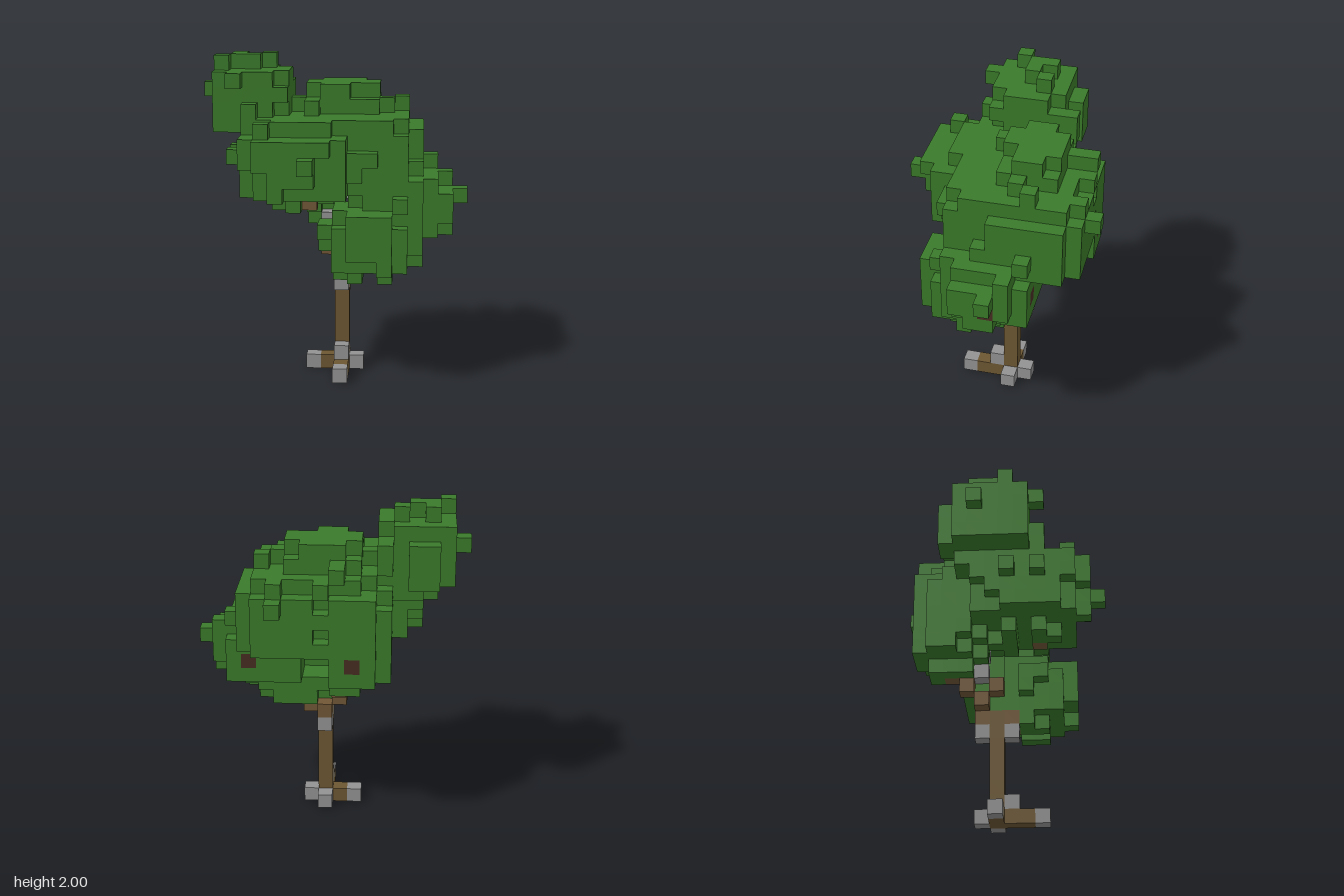
import * as THREE from 'three';

const S = 2 / 22; // edge of one block
const key = (i, j, k) => `${i},${j},${k}`;

// Outline of the crown: block ranges per layer (x and z) and per depth row (x)
const LOW = 7;
const X_BY_Y = [[0, 3], [0, 5], [-1, 5], [-2, 7], [-4, 7], [-4, 8], [-6, 7], [-6, 6],
  [-7, 5], [-6, 5], [-8, 4], [-8, 4], [-9, 2], [-8, -4], [-8, -5]];
const Z_BY_Y = [[1, 2], [-2, 4], [-2, 4], [-5, 4], [-6, 4], [-6, 3], [-6, 5], [-6, 5],
  [-6, 6], [-7, 5], [-6, 4], [-6, 2], [-4, 1], [-3, 2], [-2, 0]];
const BACK = -7;
const X_BY_Z = [[3, 3], [-3, 4], [-4, 5], [-7, 5], [-8, 6], [-9, 7], [-8, 8],
  [-8, 7], [-8, 7], [-7, 5], [-6, 4], [-6, 3], [-5, -1], [-2, -2]];
const within = (v, range) => v >= range[0] && v <= range[1];
const inFront = (i, j) => within(i, X_BY_Y[j - LOW])
  && !(j === 7 && i === 2) && !(j === 19 && i === -3);
const inSide = (j, k) => within(k, Z_BY_Y[j - LOW]);
const inTop = (i, k) => within(i, X_BY_Z[k - BACK]) && !(k === -4 && i === -5);

// Leaf clumps: centre and radii in blocks
const CLUMPS = [
  [2.7, 9.8, 1.3, 2.9, 2.7, 3.7],      // low front
  [4.6, 12, 0, 3.4, 2.5, 3.3],         // right
  [0.8, 15.8, -1.8, 4.6, 3.1, 3.8],    // main, in the middle
  [3.2, 14.8, -2.6, 3.2, 3.4, 3.7],    // back right
  [-1.5, 13.8, -3.8, 2.3, 3.7, 3.1],   // hanging at the back
  [-2.3, 15.2, 1.7, 4.1, 2.8, 4.2],    // front left
  [2, 15.6, 0.3, 3.4, 2.8, 3.2],       // front middle
  [-5.8, 18.8, -0.9, 3, 2.8, 3.2],     // tall left
  [0.5, 18.6, -2.1, 2.7, 1.4, 2],      // cap
];

// Repeatable noise per block, 0..1
function noise(i, j, k) {
  const n = Math.sin(i * 127.1 + j * 311.7 + k * 74.7) * 43758.5453;
  return n - Math.floor(n);
}

// Smallest rounded-box distance to any clump; below 1 is inside
function leafField(i, j, k) {
  let best = Infinity;
  for (const [cx, cy, cz, rx, ry, rz] of CLUMPS) {
    const d = Math.abs((i + 0.5 - cx) / rx) ** 2.6
      + Math.abs((j + 0.5 - cy) / ry) ** 2.6
      + Math.abs((k + 0.5 - cz) / rz) ** 2.6;
    best = Math.min(best, d);
  }
  return best + (noise(i, j, k) - 0.5) * 0.4;
}

// Bare spots that leave branches and their ends visible
const bare = (i, j, k) => (i === -2 && j === 12 && k > 2)
  || (i >= 0 && i <= 6 && j <= 12 && k < -3)
  || (i >= 0 && i <= 1 && j >= 10 && j <= 12 && k < 0);

// Fills the crown around the blocks already taken
function growLeaves(taken) {
  const leaves = [];
  const candidates = [];
  for (let j = LOW; j < 22; j++) for (let k = -7; k < 7; k++) for (let i = -9; i < 9; i++) {
    if (!inFront(i, j) || !inSide(j, k) || !inTop(i, k)) continue;
    if (taken.has(key(i, j, k)) || bare(i, j, k)) continue;
    candidates.push([i, j, k, leafField(i, j, k)]);
  }
  candidates.sort((a, b) => a[3] - b[3]);
  // Twigs of leaf complete the outline where no clump reaches
  const seen = new Set();
  const outline = ([i, j, k]) => [`f${i},${j}`, `s${j},${k}`, `t${i},${k}`];
  for (const t of taken) outline(t.split(',').map(Number)).forEach((o) => seen.add(o));
  for (const c of candidates) {
    const marks = outline(c);
    if (c[3] < 1 || marks.some((m) => !seen.has(m))) {
      leaves.push(c.slice(0, 3));
      marks.forEach((m) => seen.add(m));
    }
  }
  return leaves;
}

// Mesh of the exposed faces of a list of blocks
function blockMesh(name, blocks, occupied, material) {
  const positions = [];
  const loop = [[0, 0], [1, 0], [1, 1], [0, 1]];
  for (const b of blocks) for (let a = 0; a < 3; a++) for (const d of [-1, 1]) {
    const next = [...b];
    next[a] += d;
    if (occupied.has(key(...next))) continue;
    const corners = loop.map(([u, v]) => {
      const p = [...b];
      p[a] += d > 0 ? 1 : 0;
      p[(a + 1) % 3] += u;
      p[(a + 2) % 3] += v;
      return p.map((n) => n * S);
    });
    if (d < 0) corners.reverse();
    for (const n of [0, 1, 2, 0, 2, 3]) positions.push(...corners[n]);
  }
  const geometry = new THREE.BufferGeometry();
  geometry.setAttribute('position', new THREE.Float32BufferAttribute(positions, 3));
  geometry.computeVertexNormals();
  const mesh = new THREE.Mesh(geometry, material);
  mesh.name = name;
  return mesh;
}

export function createModel() {
  const mat = (name, color) => {
    const m = new THREE.MeshStandardMaterial({ color });
    m.name = name;
    return m;
  };
  const bark = mat('bark', 0x6d5733);
  const branchWood = mat('branch wood', 0x715736);
  const cutWood = mat('cut wood', 0x482c22);
  const stone = mat('stone', 0x939393);
  const leaf = mat('leaf', 0x3a7a2a);

  const trunk = [];
  for (let j = 0; j < 8; j++) trunk.push([0, j, -1]);

  const parts = [
    ['trunk', trunk, bark],
    ['roots', [[-1, 0, -1], [0, 0, 0], [0, 0, 1]], bark],
    ['rootEnds', [[-2, 0, -1], [1, 0, -1], [0, 0, -2], [0, 0, 2], [0, 1, 0]], stone],
    ['branchJoints', [[0, 6, 0], [0, 6, -2], [-1, 10, -2], [0, 12, -2]], stone],
    ['backBranch', [[0, 7, -2], [-1, 8, -2], [-1, 9, -3], [-1, 10, -3], [-1, 10, -4],
      [-2, 11, -5]], branchWood],
    ['rightBranch', [[0, 7, 0], [1, 7, 0], [1, 7, -1], [2, 8, 0], [3, 9, 0], [4, 10, -1],
      [5, 11, -1], [6, 11, -1]], branchWood],
    ['frontBranch', [[-1, 9, -1], [-2, 12, 2], [0, 13, -1]], branchWood],
    ['branchEnds', [[7, 11, -1], [5, 11, -3], [-2, 12, -6]], cutWood],
    ['branchLeaves', [[6, 11, -3], [0, 7, 1], [1, 7, 2], [-1, 9, 1], [-1, 10, 1],
      [-1, 10, 2]], leaf],
  ];

  const occupied = new Set(parts.flatMap(([, blocks]) => blocks.map((b) => key(...b))));
  const leaves = growLeaves(occupied);
  leaves.forEach((b) => occupied.add(key(...b)));
  parts.push(['leaves', leaves, leaf]);

  const tree = new THREE.Group();
  tree.name = 'tree';
  for (const [name, blocks, material] of parts) {
    tree.add(blockMesh(name, blocks, occupied, material));
  }
  return tree;
}
